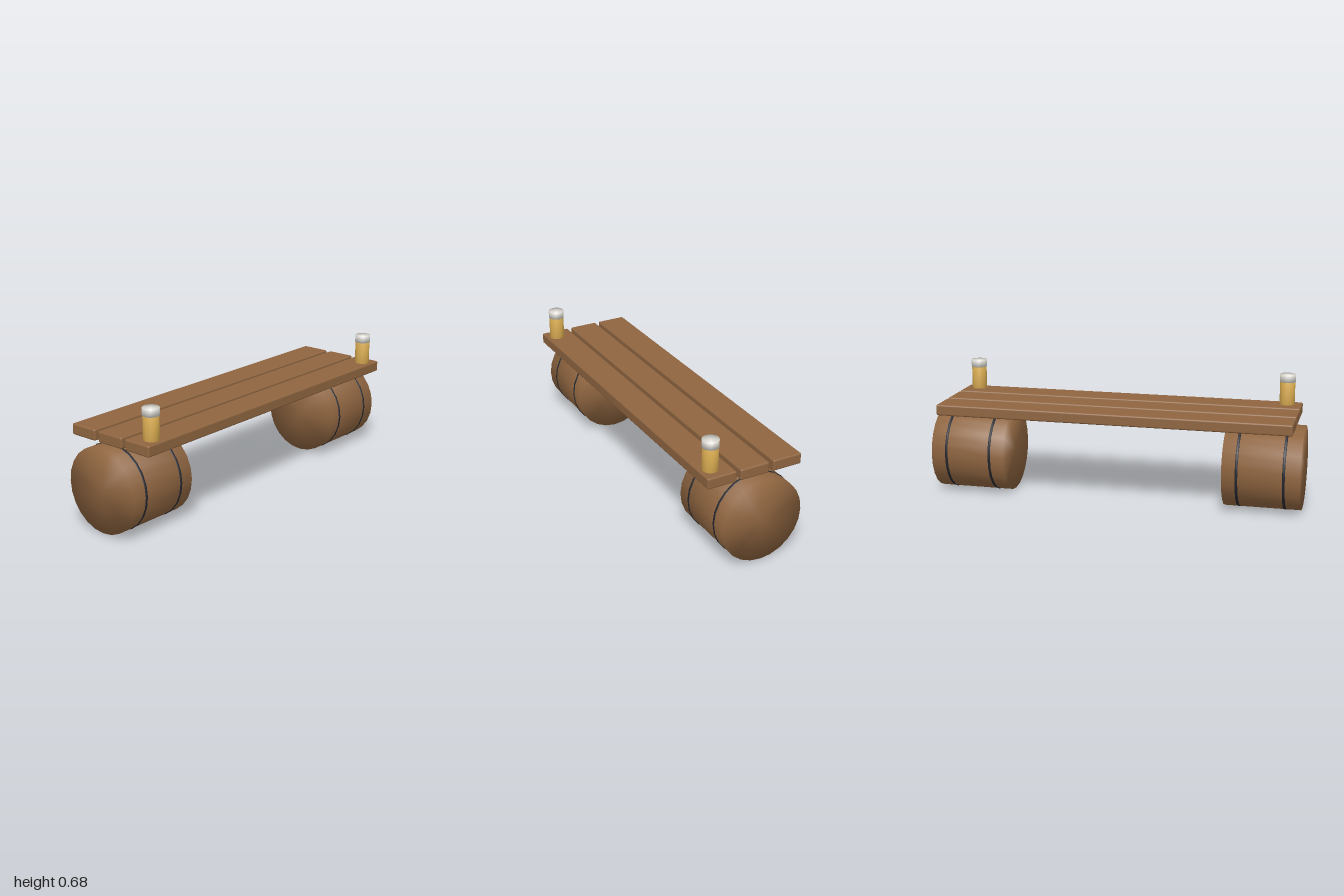
import * as THREE from 'three';
import { mergeVertices } from 'three/addons/utils/BufferGeometryUtils.js';
import { RoundedBoxGeometry } from 'three/addons/geometries/RoundedBoxGeometry.js';

const material = (name, color) => {
  const m = new THREE.MeshStandardMaterial({ color });
  m.name = name;
  return m;
};

// Cylinder whose normals blend softly over the rims
function softCylinder(radius, height, sides) {
  const g = new THREE.CylinderGeometry(radius, radius, height, sides);
  g.deleteAttribute('uv');
  g.deleteAttribute('normal');
  const soft = mergeVertices(g, 1e-5);
  soft.clearGroups();
  soft.computeVertexNormals();
  return soft;
}

export function createModel() {
  const group = new THREE.Group();
  group.name = 'barrelBench';
  const wood = material('wood', 0x8f6540);
  const iron = material('dark iron', 0x25272f);
  const beer = material('amber drink', 0xdcae52);
  const foam = material('pale foam', 0xdedbd4);

  const add = (parent, name, geometry, mat, x, y, z) => {
    const mesh = new THREE.Mesh(geometry, mat);
    mesh.name = name;
    mesh.position.set(x, y, z);
    parent.add(mesh);
    return mesh;
  };

  // Seat planks
  const plank = new RoundedBoxGeometry(1.915, 0.059, 0.161, 3, 0.009);
  [0.184, 0.001, -0.183].forEach((z, i) => add(group, `seatPlank${i + 1}`, plank, wood, 0, 0.487, z));

  const barrelGeometry = softCylinder(0.2245, 0.406, 24).rotateZ(Math.PI / 2);
  const bandGeometry = new THREE.TorusGeometry(0.2145, 0.013, 8, 24).rotateY(Math.PI / 2);
  const drinkGeometry = softCylinder(0.041, 0.125, 16);
  const foamGeometry = softCylinder(0.043, 0.04, 16);

  for (const [side, s] of [['left', 1], ['right', -1]]) {
    // Barrel lying on its side, with two hoops
    const barrel = new THREE.Group();
    barrel.name = `${side}Barrel`;
    barrel.position.set(s * 0.797, 0.23, -0.02);
    add(barrel, 'barrelBody', barrelGeometry, wood, 0, 0, 0);
    for (const x of [-0.122, 0.122]) add(barrel, 'barrelHoop', bandGeometry, iron, x - s * 0.003, 0, 0);
    group.add(barrel);

    // Drink with foam on the front plank
    const glass = new THREE.Group();
    glass.name = `${side}Glass`;
    glass.position.set(s * 0.877, 0.516, 0.206);
    add(glass, 'drink', drinkGeometry, beer, 0, 0.0625, 0);
    add(glass, 'foam', foamGeometry, foam, 0, 0.144, 0);
    group.add(glass);
  }
  return group;
}
